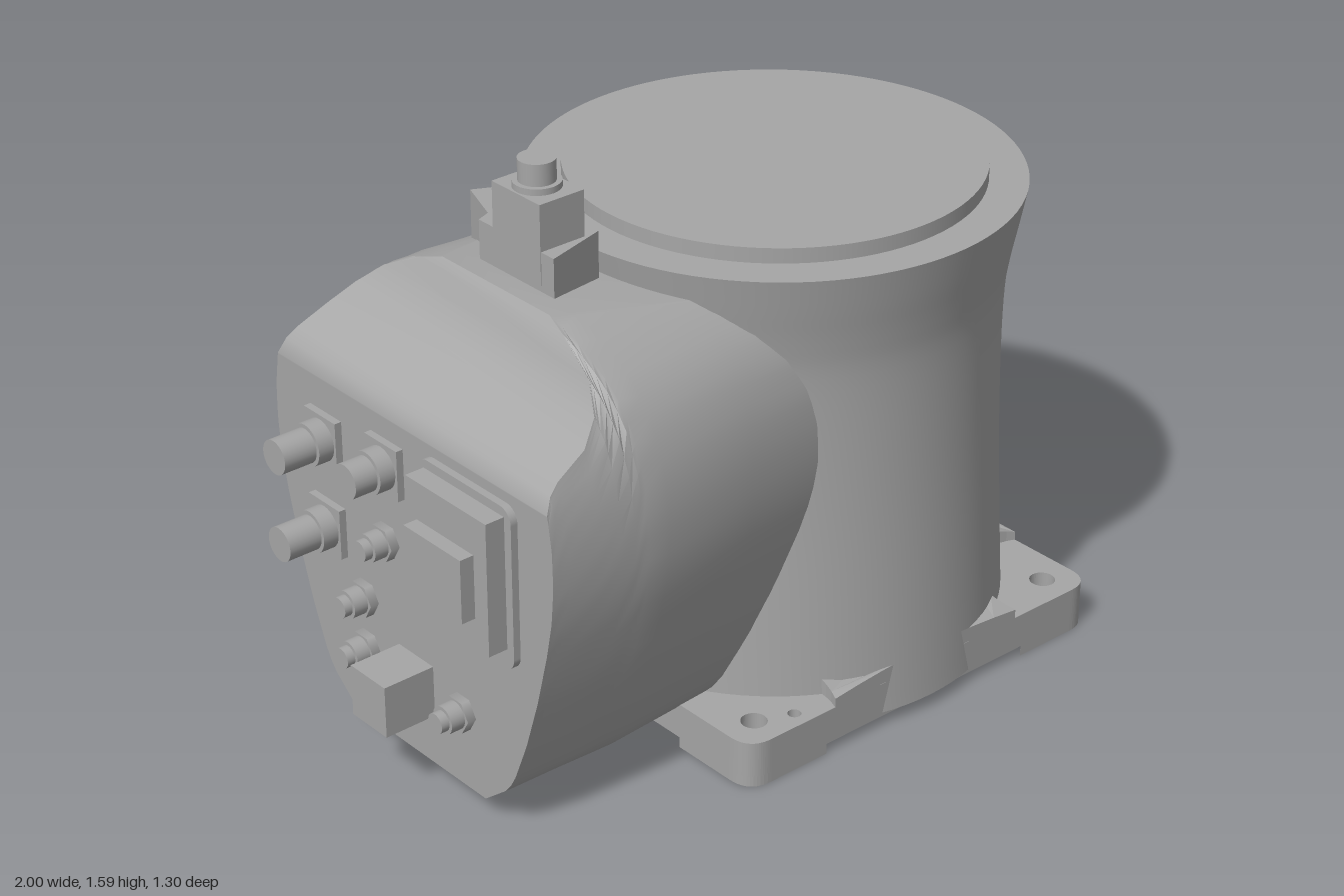
import * as THREE from 'three';
import { toCreasedNormals } from 'three/addons/utils/BufferGeometryUtils.js';

const AXIS = 0.35; // x of the column axis
const HX = 0.62, HZ = 0.615; // half sizes of the base plate

const CORNERS = [[1, 1], [-1, 1], [-1, -1], [1, -1]];

// Piecewise linear lookup in [key, value] pairs
function lookup(table, k) {
  if (k <= table[0][0]) return table[0][1];
  for (let i = 1; i < table.length; i++) {
    const [k0, v0] = table[i - 1], [k1, v1] = table[i];
    if (k <= k1) return v0 + (v1 - v0) * (k - k0) / (k1 - k0);
  }
  return table[table.length - 1][1];
}

// Extrudes a ground-plan shape (x, z) between two heights
function slab(shape, y0, y1) {
  const g = new THREE.ExtrudeGeometry(shape, { depth: y1 - y0, bevelEnabled: false, curveSegments: 20 });
  return g.rotateX(Math.PI / 2).translate(0, y1, 0);
}

function circlePath(x, z, r) {
  const p = new THREE.Path();
  p.absarc(x, z, r, 0, Math.PI * 2, true);
  return p;
}

// Bolt hole in every corner, dowel hole in two opposite ones
function cornerHoles(sx, sz) {
  const holes = [circlePath(sx * 0.525, sz * 0.525, 0.035)];
  if (sx !== sz) holes.push(circlePath(sx * 0.425, sz * 0.567, 0.018));
  return holes;
}

function plateShape() {
  const s = new THREE.Shape(), r = 0.075;
  s.moveTo(HX, -HZ + r);
  s.lineTo(HX, HZ - r); s.quadraticCurveTo(HX, HZ, HX - r, HZ);
  s.lineTo(-HX + r, HZ); s.quadraticCurveTo(-HX, HZ, -HX, HZ - r);
  s.lineTo(-HX, -HZ + r); s.quadraticCurveTo(-HX, -HZ, -HX + r, -HZ);
  s.lineTo(HX - r, -HZ); s.quadraticCurveTo(HX, -HZ, HX, -HZ + r);
  for (const [sx, sz] of CORNERS) s.holes.push(...cornerHoles(sx, sz));
  return s;
}

// Corner foot with a concave inner edge
function footShape(sx, sz) {
  const s = new THREE.Shape(), r = 0.075;
  s.moveTo(HX, 0.346);
  s.lineTo(HX, HZ - r); s.quadraticCurveTo(HX, HZ, HX - r, HZ);
  s.lineTo(0.355, HZ);
  s.absarc(0, 0, 0.71, 1.047, 0.509, true);
  const foot = new THREE.Shape(s.getPoints(12).map(p => new THREE.Vector2(p.x * sx, p.y * sz)));
  foot.holes.push(...cornerHoles(sx, sz));
  return foot;
}

// Raised web between the round corner pockets, sinking away from the column
function webGeometry() {
  const pts = [];
  CORNERS.forEach(([sx, sz], c) => {
    const arc = [];
    for (let i = 0; i <= 20; i++) {
      const a = -1.149 - (3.538 - 1.149) * i / 20;
      arc.push(new THREE.Vector2(sx * Math.min(HX, 0.53 + 0.22 * Math.cos(a)), sz * Math.min(HZ, 0.53 + 0.22 * Math.sin(a))));
    }
    if (c % 2) arc.reverse();
    if (pts.length) {
      const from = pts[pts.length - 1];
      for (let i = 1; i < 8; i++) pts.push(from.clone().lerp(arc[0], i / 8));
    }
    pts.push(...arc);
  });
  const g = slab(new THREE.Shape(pts), 0.125, 0.175), p = g.attributes.position;
  for (let i = 0; i < p.count; i++) {
    if (p.getY(i) > 0.15) p.setY(i, 0.175 - 0.25 * Math.max(0, Math.hypot(p.getX(i), p.getZ(i)) - 0.62));
  }
  g.computeVertexNormals();
  return g;
}

// Waisted column as a lathe
function columnGeometry() {
  const side = new THREE.SplineCurve([[0.635, 0.04], [0.62, 0.3], [0.605, 0.6], [0.599, 0.85], [0.601, 1.03],
    [0.613, 1.13], [0.632, 1.23], [0.65, 1.325]].map(p => new THREE.Vector2(...p))).getPoints(28);
  const profile = [new THREE.Vector2(0, 0.04), ...side, new THREE.Vector2(0, 1.325)];
  return toCreasedNormals(new THREE.LatheGeometry(profile, 96), 0.5);
}

// Housing lofted along x: half width by height, roof line and width scale by x
function housingGeometry() {
  const halfWidth = [[0.06, 0.28], [0.13, 0.37], [0.17, 0.4], [0.3, 0.455], [0.45, 0.505], [0.6, 0.545], [0.7, 0.566],
    [0.8, 0.575], [0.9, 0.572], [1.0, 0.555], [1.1, 0.515], [1.17, 0.46], [1.22, 0.39], [1.26, 0.31], [1.29, 0.21]];
  const roof = [[-0.84, 0.99], [-0.82, 1.03], [-0.79, 1.055], [-0.7, 1.1], [-0.64, 1.15], [-0.6, 1.21],
    [-0.575, 1.27], [-0.56, 1.29], [-0.5, 1.285], [-0.2, 1.25], [0.1, 1.215]];
  const scale = [[-0.84, 0.965], [-0.5, 1], [-0.06, 0.91], [0.1, 0.88]];
  const N = 30, ring = 2 * N, pos = [], idx = [];
  for (const [x, top] of roof) {
    const half = [];
    for (let j = 0; j < N; j++) {
      const f = (1 - Math.cos(Math.PI * j / (N - 1))) / 2;
      const y = 0.06 + (top - 0.06) * f;
      half.push([y, lookup(halfWidth, y) * lookup(scale, x)]);
    }
    half.forEach(([y, z]) => pos.push(x, y, z));
    half.reverse().forEach(([y, z]) => pos.push(x, y, -z));
  }
  for (let i = 0; i < roof.length - 1; i++) {
    for (let j = 0; j < ring; j++) {
      const a = i * ring + j, b = i * ring + (j + 1) % ring;
      idx.push(a, a + ring, b + ring, a, b + ring, b);
    }
  }
  // Flat connector face
  for (let j = 0; j < N - 1; j++) {
    const m = ring - 1 - j;
    idx.push(j, j + 1, m - 1, j, m - 1, m);
  }
  const g = new THREE.BufferGeometry();
  g.setAttribute('position', new THREE.Float32BufferAttribute(pos, 3));
  g.setIndex(idx);
  return toCreasedNormals(g, 0.5);
}

export function createModel() {
  const model = new THREE.Group();
  const grey = new THREE.MeshStandardMaterial({ color: 0xa6a6a6 });
  grey.name = 'castGrey';

  function add(name, geometry, parent = model, x = 0) {
    const m = new THREE.Mesh(geometry, grey);
    m.name = name;
    m.position.x = x;
    parent.add(m);
    return m;
  }
  const box = (x0, x1, y0, y1, z0, z1) => new THREE.BoxGeometry(x1 - x0, y1 - y0, z1 - z0)
    .translate((x0 + x1) / 2, (y0 + y1) / 2, (z0 + z1) / 2);
  // Cylinder sticking out of the connector face, from x0 down to x1
  const stud = (x0, x1, y, z, r, n = 28) => new THREE.CylinderGeometry(r, r, x0 - x1, n)
    .rotateZ(Math.PI / 2).translate((x0 + x1) / 2, y, z);

  // Base
  const base = new THREE.Group();
  base.name = 'base';
  base.position.x = AXIS;
  model.add(base);
  add('basePlate', slab(plateShape(), 0.03, 0.13), base);
  add('baseWeb', webGeometry(), base);
  for (const [sx, sz] of CORNERS) add('foot', slab(footShape(sx, sz), 0, 0.03), base);

  // Column and its cap
  add('column', columnGeometry(), model, AXIS);
  add('topCap', new THREE.CylinderGeometry(0.547, 0.547, 0.05, 96).translate(0, 1.341, 0), model, AXIS);

  add('rearHousing', housingGeometry());

  // Top bracket with its upright connector
  const bracket = [[-0.49, 0.14], [-0.31, 0.09], [-0.345, 0], [-0.335, -0.09], [-0.315, -0.16], [-0.27, -0.235],
    [-0.4, -0.3], [-0.45, -0.165], [-0.49, -0.15]].map(p => new THREE.Vector2(...p));
  add('topBracket', slab(new THREE.Shape(bracket), 1.24, 1.39));
  add('topConnectorBlock', box(-0.492, -0.355, 1.3, 1.515, -0.092, 0.092));
  for (const [r, y0, y1] of [[0.062, 1.51, 1.532], [0.048, 1.53, 1.59]]) {
    add('topConnectorPin', new THREE.CylinderGeometry(r, r, y1 - y0, 32).translate(0, (y0 + y1) / 2, 0), model, -0.425);
  }

  // Large rectangular socket
  const w = 0.18, h = 0.225, r = 0.04, flange = new THREE.Shape();
  flange.absarc(w - r, h - r, r, 0, Math.PI / 2);
  flange.absarc(-w + r, h - r, r, Math.PI / 2, Math.PI);
  flange.absarc(-w + r, -h + r, r, Math.PI, Math.PI * 1.5);
  flange.absarc(w - r, -h + r, r, Math.PI * 1.5, Math.PI * 2);
  add('socketFlange', new THREE.ExtrudeGeometry(flange, { depth: 0.03, bevelEnabled: false })
    .rotateY(-Math.PI / 2).translate(-0.83, 0.735, 0.245));
  add('socketBody', box(-0.915, -0.85, 0.57, 0.935, 0.09, 0.4));
  add('socketCover', box(-0.955, -0.91, 0.655, 0.83, 0.13, 0.35));

  // Round connectors with square flanges: y, z, tip x
  for (const [y, z, tip] of [[0.83, -0.34, -1], [0.58, -0.34, -1], [0.86, -0.085, -0.97]]) {
    add('connectorFlange', box(-0.86, -0.83, y - 0.07, y + 0.07, z - 0.065, z + 0.065));
    add('connectorCollar', stud(-0.85, -0.905, y, z, 0.058));
    add('connectorBarrel', stud(-0.9, tip, y, z, 0.047));
  }

  // Small fittings with hexagonal nuts
  for (const [y, z] of [[0.64, -0.1], [0.43, -0.2], [0.28, -0.2], [0.28, 0.19]]) {
    add('fittingNut', stud(-0.83, -0.865, y, z, 0.05, 6));
    add('fittingBody', stud(-0.86, -0.905, y, z, 0.038));
    add('fittingTip', stud(-0.9, -0.928, y, z, 0.028));
  }

  add('squarePort', box(-0.99, -0.83, 0.205, 0.35, -0.07, 0.07));
  return model;
}
